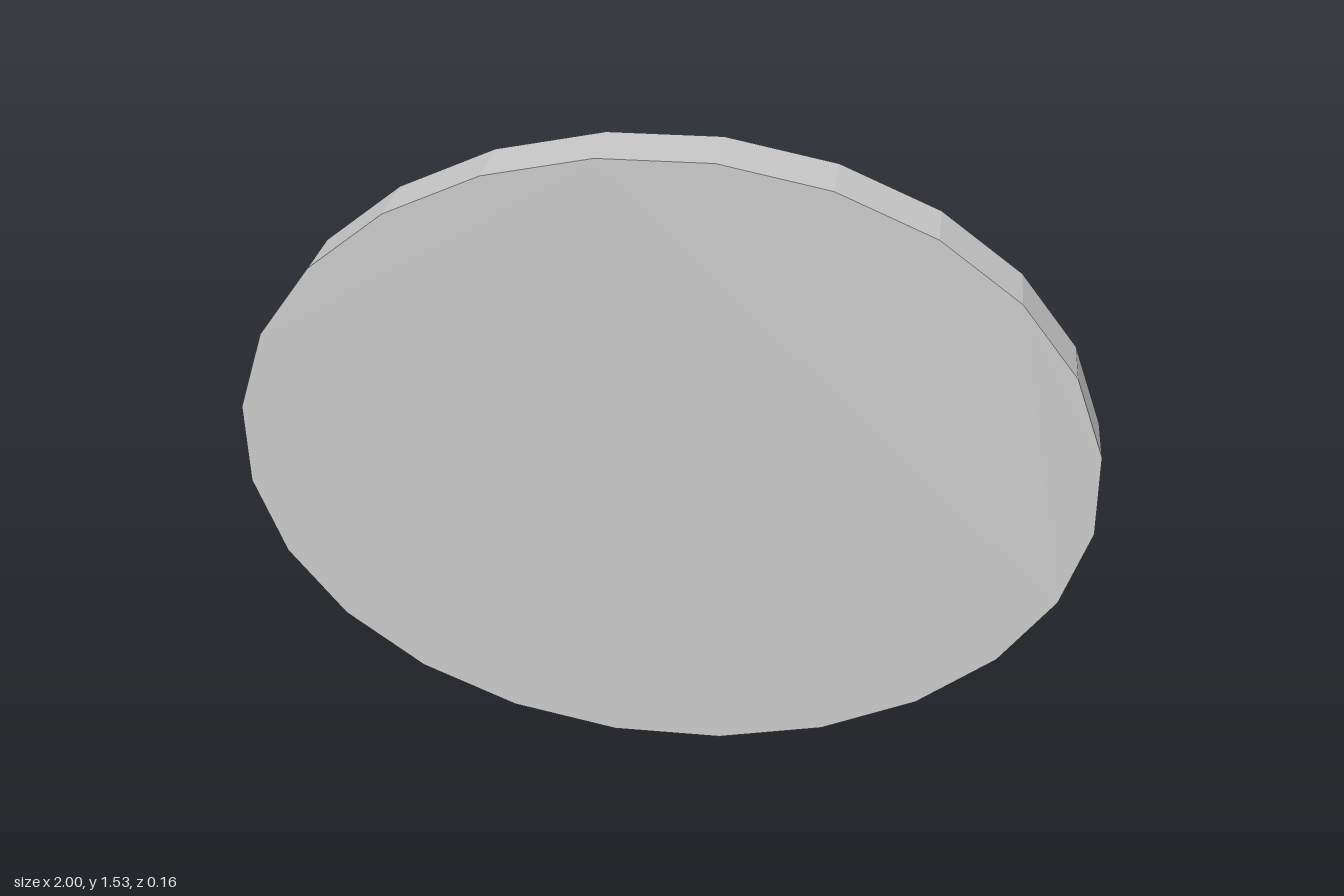
import * as THREE from 'three';

const SIDES = 24, RX = 1.007, RY = 0.77, TURN = THREE.MathUtils.degToRad(8.3);
const FRONT = 0.08, BACK = -0.08, FLOOR = -0.036;

// Faceted oval, counter-clockwise as seen from the front
function oval(scale, cy) {
  return Array.from({ length: SIDES }, (_, i) => {
    const a = TURN + (i / SIDES) * Math.PI * 2;
    return new THREE.Vector2(RX * scale * Math.cos(a), cy + RY * scale * Math.sin(a));
  });
}

// Flat face at depth z, optionally holed, facing the front or the back
function face(points, z, facesBack, hole) {
  const shape = new THREE.Shape(points);
  if (hole) shape.holes.push(new THREE.Path(hole));
  const geo = new THREE.ShapeGeometry(shape);
  if (facesBack) {
    geo.setIndex(Array.from(geo.index.array).reverse());
    geo.attributes.normal.array.fill(0);
    geo.computeVertexNormals();
  }
  return geo.translate(0, 0, z);
}

// Band of quads along a closed outline, from depth z0 to z1
function wall(points, z0, z1) {
  const pos = [];
  points.forEach((a, i) => {
    const b = points[(i + 1) % points.length];
    pos.push(a.x, a.y, z0, b.x, b.y, z0, b.x, b.y, z1);
    pos.push(a.x, a.y, z0, b.x, b.y, z1, a.x, a.y, z1);
  });
  const geo = new THREE.BufferGeometry();
  geo.setAttribute('position', new THREE.Float32BufferAttribute(pos, 3));
  geo.computeVertexNormals();
  return geo;
}

export function createModel() {
  const group = new THREE.Group();
  group.name = 'ovalDisc';
  const material = new THREE.MeshStandardMaterial({ color: 0xcccccc, flatShading: true });
  const add = (name, geo) => {
    const mesh = new THREE.Mesh(geo, material);
    mesh.name = name;
    group.add(mesh);
  };

  const outer = oval(1, 0.765);
  const inner = oval(0.803, 0.818); // recess sits slightly above centre

  add('frontFace', face(outer, FRONT, false));
  add('outerEdge', wall(outer, BACK, FRONT));
  add('backRim', face(outer, BACK, true, inner));
  add('recessWall', wall([...inner].reverse(), BACK, FLOOR));
  add('recessFloor', face(inner, FLOOR, true));
  return group;
}
